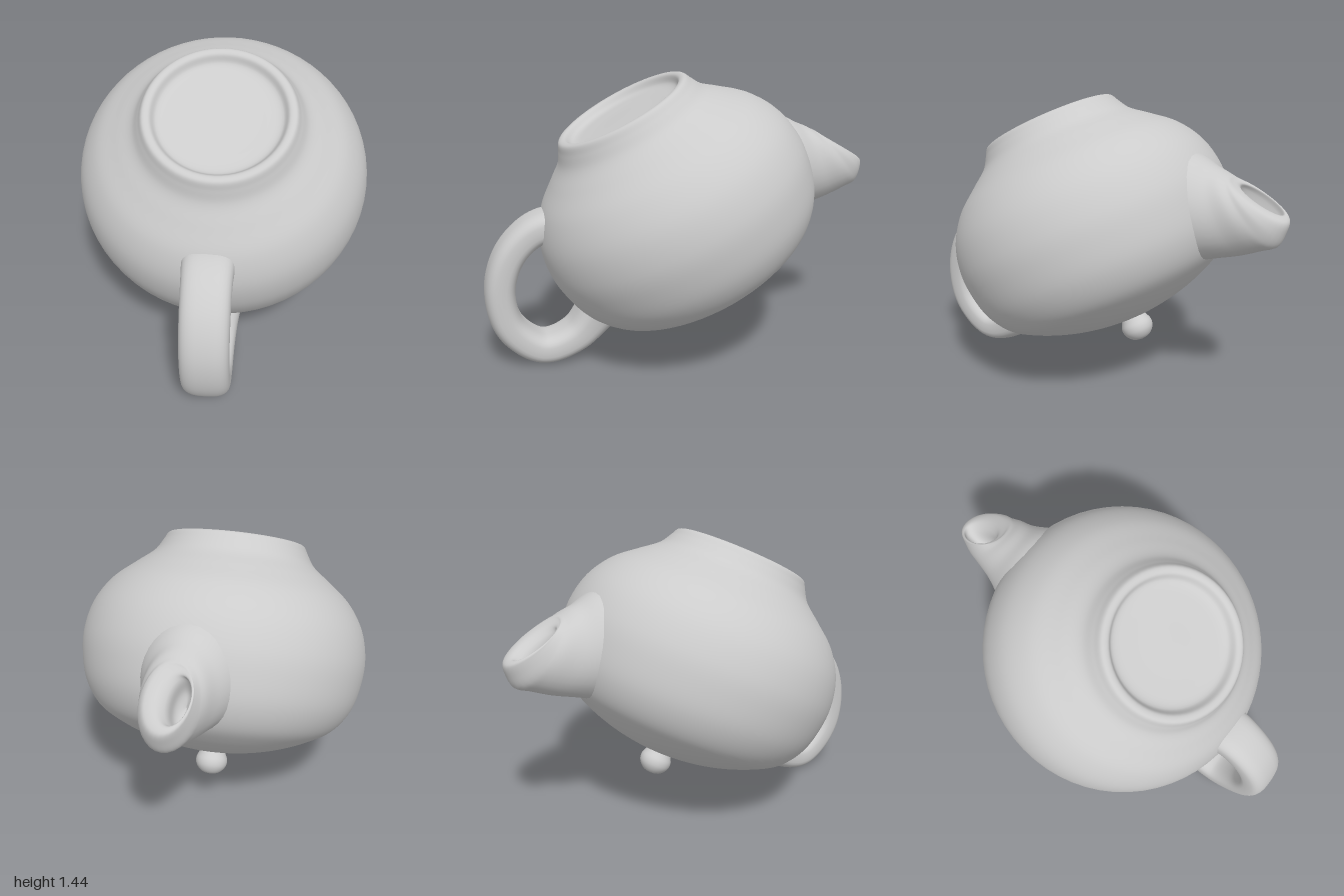
import * as THREE from 'three';

const material = new THREE.MeshStandardMaterial({ color: 0xcccccc, side: THREE.DoubleSide });

function addMesh(parent, name, geometry) {
  const mesh = new THREE.Mesh(geometry, material);
  mesh.name = name;
  parent.add(mesh);
  return mesh;
}

// Skin rounded cross-sections, each [topZ, topY, bottomZ, bottomY, halfWidth, centreX].
// Power 1 gives ellipses; smaller powers give squarer sections.
function loft(sections, steps, power) {
  const top = new THREE.CatmullRomCurve3(sections.map(s => new THREE.Vector3(s[4], s[1], s[0])));
  const bottom = new THREE.CatmullRomCurve3(sections.map(s => new THREE.Vector3(s[5], s[3], s[2])));
  const sides = 32, positions = [], index = [];
  const soften = v => Math.sign(v) * Math.pow(Math.abs(v), power);
  for (let i = 0; i <= steps; i++) {
    const a = top.getPoint(i / steps), b = bottom.getPoint(i / steps);
    for (let j = 0; j < sides; j++) {
      const angle = (j / sides) * Math.PI * 2;
      const c = soften(Math.cos(angle)), s = soften(Math.sin(angle));
      positions.push(b.x + a.x * c, (a.y + b.y) / 2 + (a.y - b.y) / 2 * s, (a.z + b.z) / 2 + (a.z - b.z) / 2 * s);
      if (i < steps) {
        const k = (j + 1) % sides, p = i * sides, q = p + sides;
        index.push(p + j, q + j, p + k, p + k, q + j, q + k);
      }
    }
  }
  const geometry = new THREE.BufferGeometry();
  geometry.setAttribute('position', new THREE.Float32BufferAttribute(positions, 3));
  geometry.setIndex(index);
  geometry.computeVertexNormals();
  return geometry;
}

// Turned shape from [radius, distance below the foot] pairs, listed lowest first
function turned(profile, samples) {
  const curve = new THREE.CatmullRomCurve3(profile.map(([r, t]) => new THREE.Vector3(r, -t, 0)));
  const points = curve.getPoints(samples).map(p => new THREE.Vector2(Math.max(0, p.x), p.y));
  return new THREE.LatheGeometry(points, 64);
}

export function createModel() {
  const model = new THREE.Group();
  model.name = 'upturnedTeapot';

  // Body, foot and lid knob share one tilted axis
  const vessel = new THREE.Group();
  vessel.name = 'vessel';
  vessel.position.set(0, 1.28, 0.3);
  vessel.rotation.x = 0.49;
  model.add(vessel);

  addMesh(vessel, 'body', turned([
    [0, 1.085], [0.15, 1.075], [0.33, 1.035], [0.49, 0.97], [0.6, 0.9], [0.675, 0.79],
    [0.71, 0.65], [0.714, 0.53], [0.68, 0.39], [0.6, 0.265], [0.49, 0.17], [0.405, 0.1],
    [0.37, 0.045], [0.345, 0.005], [0.315, 0.005], [0.285, 0.04], [0.2, 0.05], [0, 0.05],
  ], 100));

  addMesh(vessel, 'lidKnob', turned([
    [0, 1.21], [0.045, 1.198], [0.075, 1.165], [0.08, 1.13], [0.066, 1.095], [0.06, 1.075], [0.09, 1.05],
  ], 24));

  // Spout, folding over its slanted lip into the hollow
  addMesh(model, 'spout', loft([
    [-0.4, 1.24, -0.45, 0.66, 0.32, 0],
    [-0.55, 1.2, -0.66, 0.725, 0.215, 0.01],
    [-0.62, 1.165, -0.8, 0.765, 0.165, 0.015],
    [-0.67, 1.145, -0.9, 0.805, 0.145, 0.02],
    [-0.7, 1.13, -0.96, 0.83, 0.13, 0.02],
    [-0.72, 1.12, -0.99, 0.89, 0.118, 0.02],
    [-0.73, 1.11, -1.0, 0.945, 0.1, 0.01],
    [-0.755, 1.085, -0.97, 0.97, 0.07, -0.01],
    [-0.75, 1.06, -0.94, 0.95, 0.052, -0.03],
    [-0.73, 0.99, -0.86, 0.9, 0.035, -0.03],
    [-0.74, 0.93, -0.75, 0.92, 0.002, -0.03],
  ], 60, 1));

  // Looped handle with a soft rectangular section, flared at its ends
  const path = new THREE.CatmullRomCurve3([
    [0.55, 0.7], [0.72, 0.705], [0.86, 0.59], [0.925, 0.4], [0.885, 0.2],
    [0.73, 0.075], [0.56, 0.12], [0.42, 0.27],
  ].map(([z, y]) => new THREE.Vector3(0, y, z)));
  const sections = [];
  for (let i = 0; i <= 24; i++) {
    const p = path.getPoint(i / 24), d = path.getTangent(i / 24);
    const flare = Math.pow(Math.abs(i / 12 - 1), 6);
    const h = 0.075 + 0.035 * flare, vz = d.y * h, vy = -d.z * h;
    sections.push([p.z + vz, p.y + vy, p.z - vz, p.y - vy, 0.113 + 0.04 * flare, -0.02]);
  }
  addMesh(model, 'handle', loft(sections, 72, 0.7));

  return model;
}
